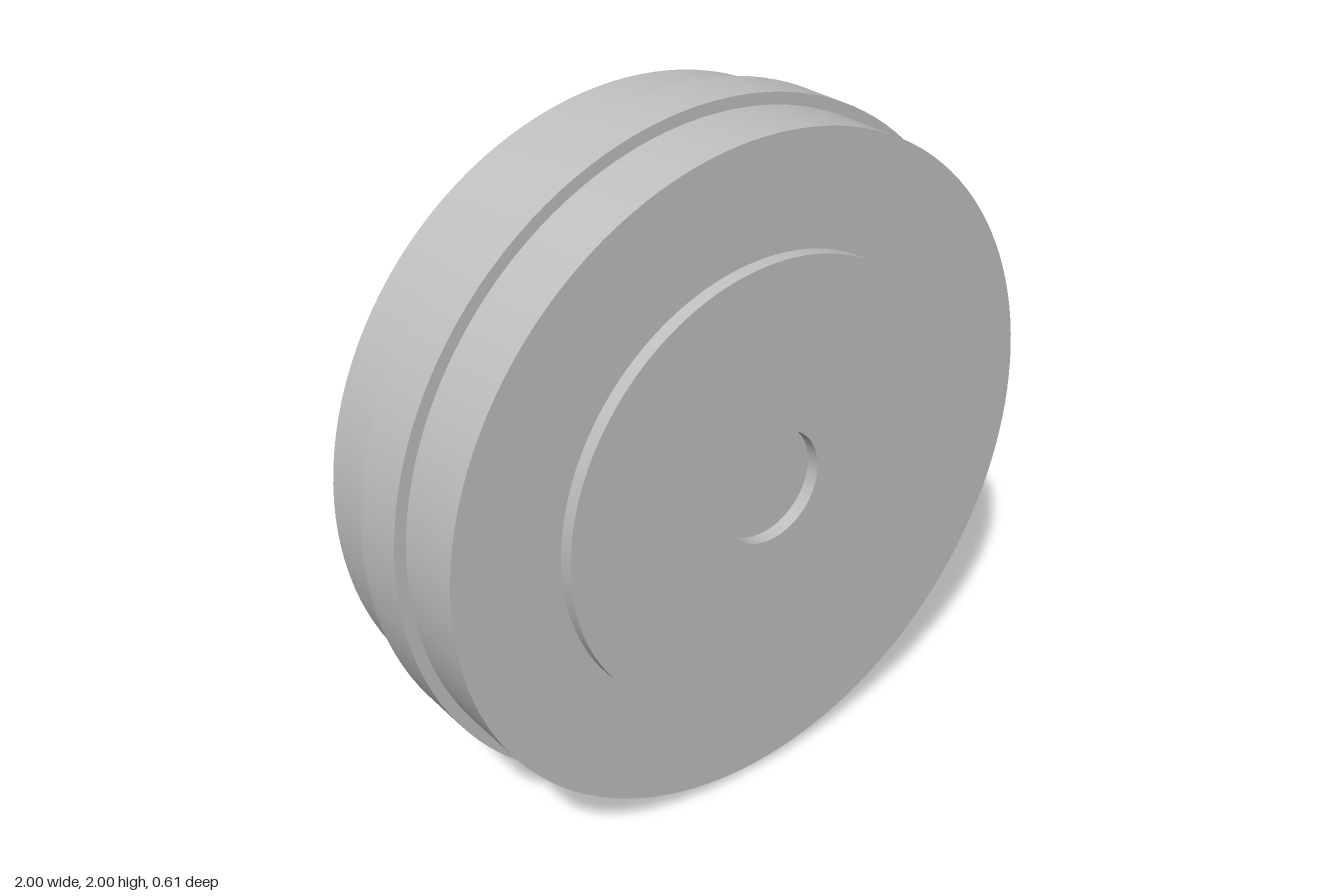
import * as THREE from 'three';
import { toCreasedNormals } from 'three/addons/utils/BufferGeometryUtils.js';

export function createModel() {
  const group = new THREE.Group();
  const grey = new THREE.MeshStandardMaterial({ color: 0xc0c0c0 });
  grey.name = 'grey';

  // Turns a [radius, z] profile, listed from back to front, about the z axis.
  function turned(name, profile) {
    const points = profile.map(([r, z]) => new THREE.Vector2(r, z));
    const lathe = new THREE.LatheGeometry(points, 128);
    lathe.rotateX(Math.PI / 2);
    const mesh = new THREE.Mesh(toCreasedNormals(lathe, 0.6), grey);
    mesh.name = name;
    mesh.position.y = 1;
    group.add(mesh);
  }

  const R = 0.967, front = 0.265, back = -0.295;

  // Back half of the drum, with a shallow raised ring on its face
  turned('backRecess', [[0, back], [0.38, back]]);
  turned('backRing', [[0.38, back], [0.38, -0.305], [0.485, -0.305], [0.485, back]]);
  turned('backDrum', [[0.485, back], [R, back], [R, -0.095]]);

  // Raised band around the middle
  turned('centreBand', [[R, -0.095], [1, -0.095], [1, 0.065], [R, 0.065]]);

  // Front half of the drum, with a raised boss and a round socket
  turned('frontDrum', [[R, 0.065], [R, front], [0.65, front]]);
  turned('frontBoss', [[0.65, front], [0.65, 0.305], [0.165, 0.305], [0.165, front]]);
  turned('socketFloor', [[0.165, front], [0, front]]);

  return group;
}
